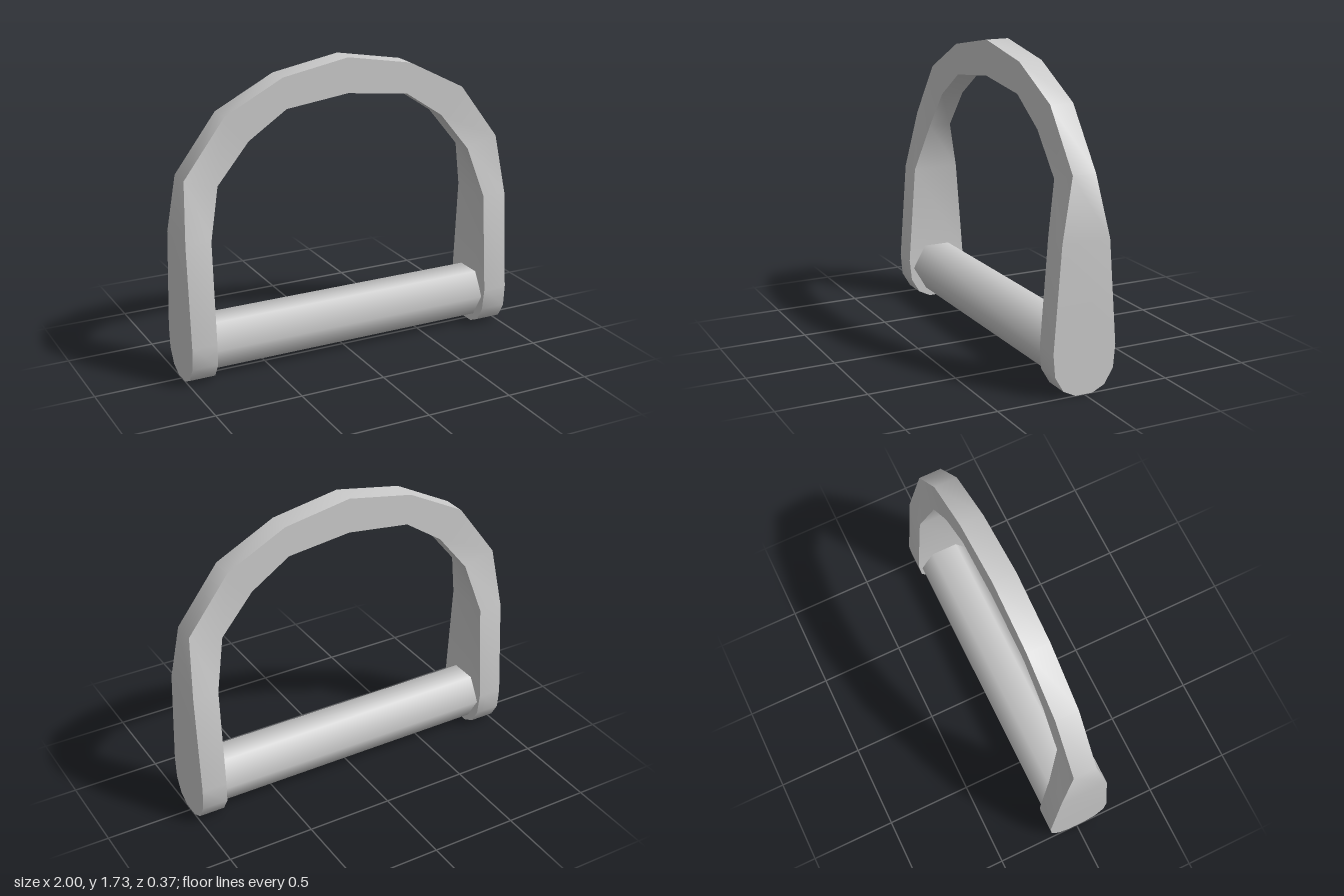
import * as THREE from 'three';
import { toCreasedNormals } from 'three/addons/utils/BufferGeometryUtils.js';

// Right half of the bow, bottom to crown: outer x, outer y, inner x, inner y, half depth
const HALF = [
  [1, 0, 0.85, 0, 0.05],
  [1, 0.035, 0.85, 0.035, 0.122],
  [1, 0.12, 0.85, 0.12, 0.172],
  [1, 0.245, 0.855, 0.245, 0.183],
  [1, 0.82, 0.853, 0.825, 0.139],
  [0.97, 1.16, 0.78, 1.105, 0.067],
  [0.73, 1.48, 0.595, 1.33, 0.067],
  [0.39, 1.655, 0.37, 1.48, 0.067],
  [0, 1.725, 0, 1.525, 0.067],
];

// Four-sided band swept through the stations, capped at both ends
function bowGeometry() {
  const mirrored = HALF.slice(0, -1).reverse().map(([ox, oy, ix, iy, d]) => [-ox, oy, -ix, iy, d]);
  const stations = [...HALF, ...mirrored];
  const positions = [];
  const index = [];
  for (const [ox, oy, ix, iy, d] of stations) {
    positions.push(ox, oy, d, ix, iy, d, ix, iy, -d, ox, oy, -d);
  }
  const quad = (a, b, c, d) => index.push(a, b, c, a, c, d);
  const last = (stations.length - 1) * 4;
  for (let i = 0; i < last; i += 4) {
    for (let k = 0; k < 4; k++) {
      const n = (k + 1) % 4;
      quad(i + k, i + 4 + k, i + 4 + n, i + n);
    }
  }
  quad(0, 1, 2, 3);
  quad(last + 3, last + 2, last + 1, last);

  const geometry = new THREE.BufferGeometry();
  geometry.setAttribute('position', new THREE.Float32BufferAttribute(positions, 3));
  geometry.setIndex(index);
  return toCreasedNormals(geometry, 0.7);
}

export function createModel() {
  const group = new THREE.Group();
  group.name = 'stirrupHandle';
  const material = new THREE.MeshStandardMaterial({ color: 0xcccccc });

  // Arched bow with flared legs
  const bow = new THREE.Mesh(bowGeometry(), material);
  bow.name = 'bow';
  group.add(bow);

  // Six-sided, smooth-shaded grip between the legs
  const grip = new THREE.Mesh(new THREE.CylinderGeometry(0.158, 0.158, 1.74, 6), material);
  grip.name = 'gripBar';
  grip.rotation.z = Math.PI / 2;
  grip.position.set(0, 0.192, -0.003);
  group.add(grip);

  return group;
}
